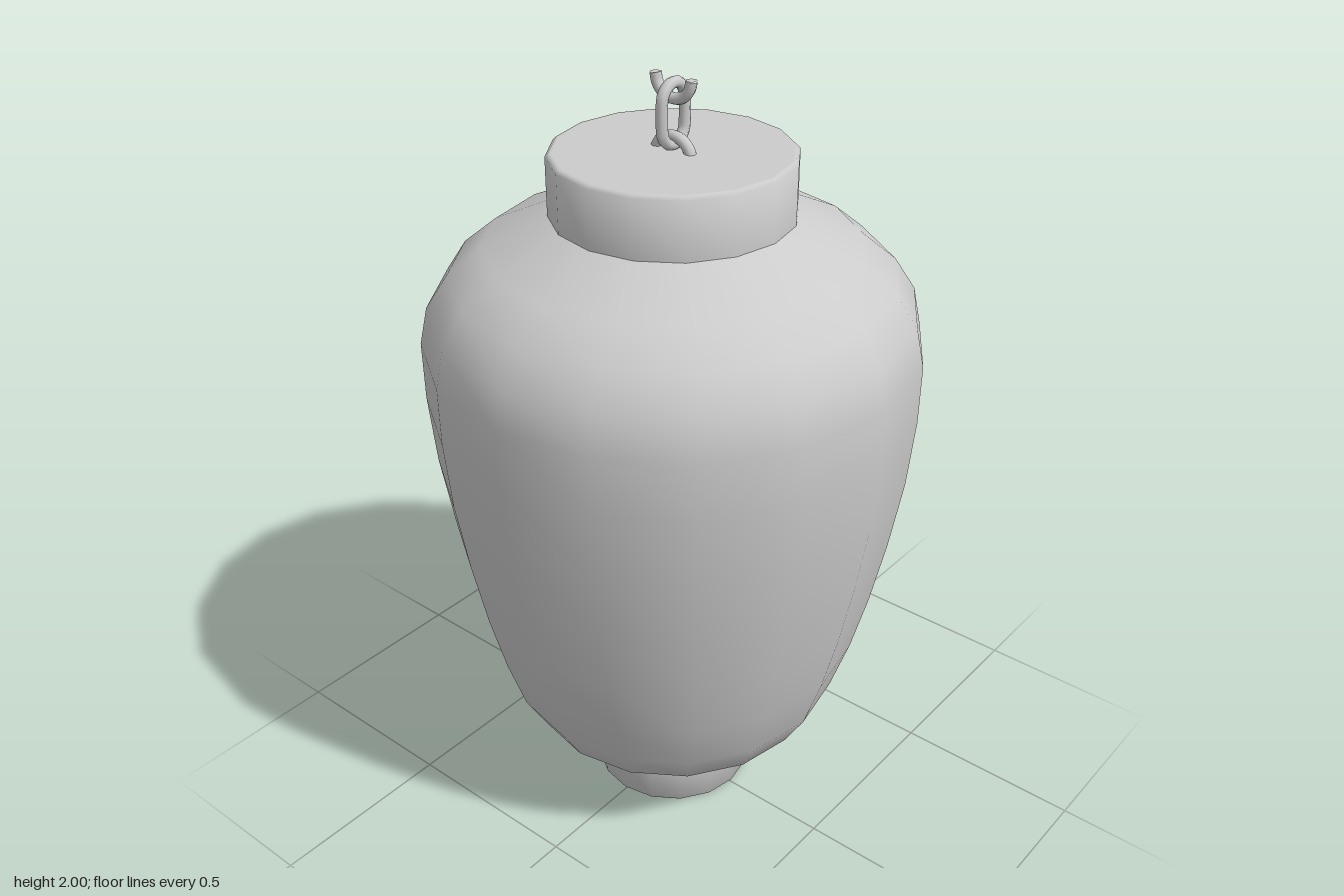
import * as THREE from 'three';
import { toCreasedNormals } from 'three/addons/utils/BufferGeometryUtils.js';

const SIDES = 16;
const WIRE = 0.014;

const material = new THREE.MeshStandardMaterial({ color: 0xcccccc });

function addMesh(group, name, geometry) {
  const mesh = new THREE.Mesh(geometry, material);
  mesh.name = name;
  group.add(mesh);
  return mesh;
}

// Revolves a [radius, height] profile, listed from bottom to top
function lathe(profile) {
  return new THREE.LatheGeometry(profile.map(([r, y]) => new THREE.Vector2(r, y)), SIDES);
}

// Short closed drum with a small bevel on the chosen rims
function drum(radius, y0, y1, bevelBottom, bevelTop) {
  const b = 0.008;
  const profile = [[0, y0]];
  if (bevelBottom) profile.push([radius - 2 * b, y0], [radius - b, y0], [radius, y0 + b]);
  else profile.push([radius, y0]);
  if (bevelTop) profile.push([radius, y1 - b], [radius - b, y1], [radius - 2 * b, y1]);
  else profile.push([radius, y1]);
  profile.push([0, y1]);
  return toCreasedNormals(lathe(profile), 0.9);
}

// Closed oval link in the xy plane
function ovalLink(halfWidth, y0, y1) {
  const points = [];
  const straight = (y1 - y0) / 2 - halfWidth;
  for (let i = 0; i < 20; i++) {
    const a = ((i + 0.5) / 20) * Math.PI * 2;
    const s = Math.sin(a);
    points.push(new THREE.Vector3(
      halfWidth * Math.cos(a), (y0 + y1) / 2 + halfWidth * s + Math.sign(s) * straight, 0));
  }
  return new THREE.TubeGeometry(new THREE.CatmullRomCurve3(points, true), 40, WIRE, 8, true);
}

// Half link in the yz plane, running from its open ends to its bend
function halfLink(halfWidth, yEnd, yBend) {
  const points = [];
  for (let i = 0; i <= 8; i++) {
    const a = (i / 8) * Math.PI;
    points.push(new THREE.Vector3(
      0, yEnd + (yBend - yEnd) * Math.sin(a), halfWidth * Math.cos(a)));
  }
  return new THREE.TubeGeometry(new THREE.CatmullRomCurve3(points), 20, WIRE, 8);
}

export function createModel() {
  const model = new THREE.Group();
  model.name = 'hangingLantern';

  // Swelling paper body
  addMesh(model, 'lanternBody', lathe([
    [0.2, 0.11], [0.29, 0.18], [0.39, 0.26], [0.445, 0.355], [0.492, 0.5], [0.532, 0.66],
    [0.568, 0.84], [0.598, 1.03], [0.613, 1.21], [0.614, 1.36], [0.593, 1.455],
    [0.54, 1.535], [0.455, 1.605], [0.28, 1.685],
  ]));

  // Rings closing the body at both ends
  addMesh(model, 'bottomRing', drum(0.213, 0, 0.118, true, false));
  addMesh(model, 'topCap', drum(0.295, 1.677, 1.83, false, true));

  // Hanging chain
  const chain = new THREE.Group();
  chain.name = 'chain';
  model.add(chain);
  addMesh(chain, 'anchorLoop', halfLink(0.052, 1.815, 1.862));
  addMesh(chain, 'middleLink', ovalLink(0.04, 1.842, 1.986));
  addMesh(chain, 'upperHook', halfLink(0.052, 2.0, 1.949));

  // Flat ends of the upper hook
  for (const side of [-1, 1]) {
    const end = addMesh(chain, 'hookEnd', new THREE.CircleGeometry(WIRE, 8));
    end.rotation.x = -Math.PI / 2;
    end.position.set(0, 2.0, side * 0.052);
  }

  return model;
}
